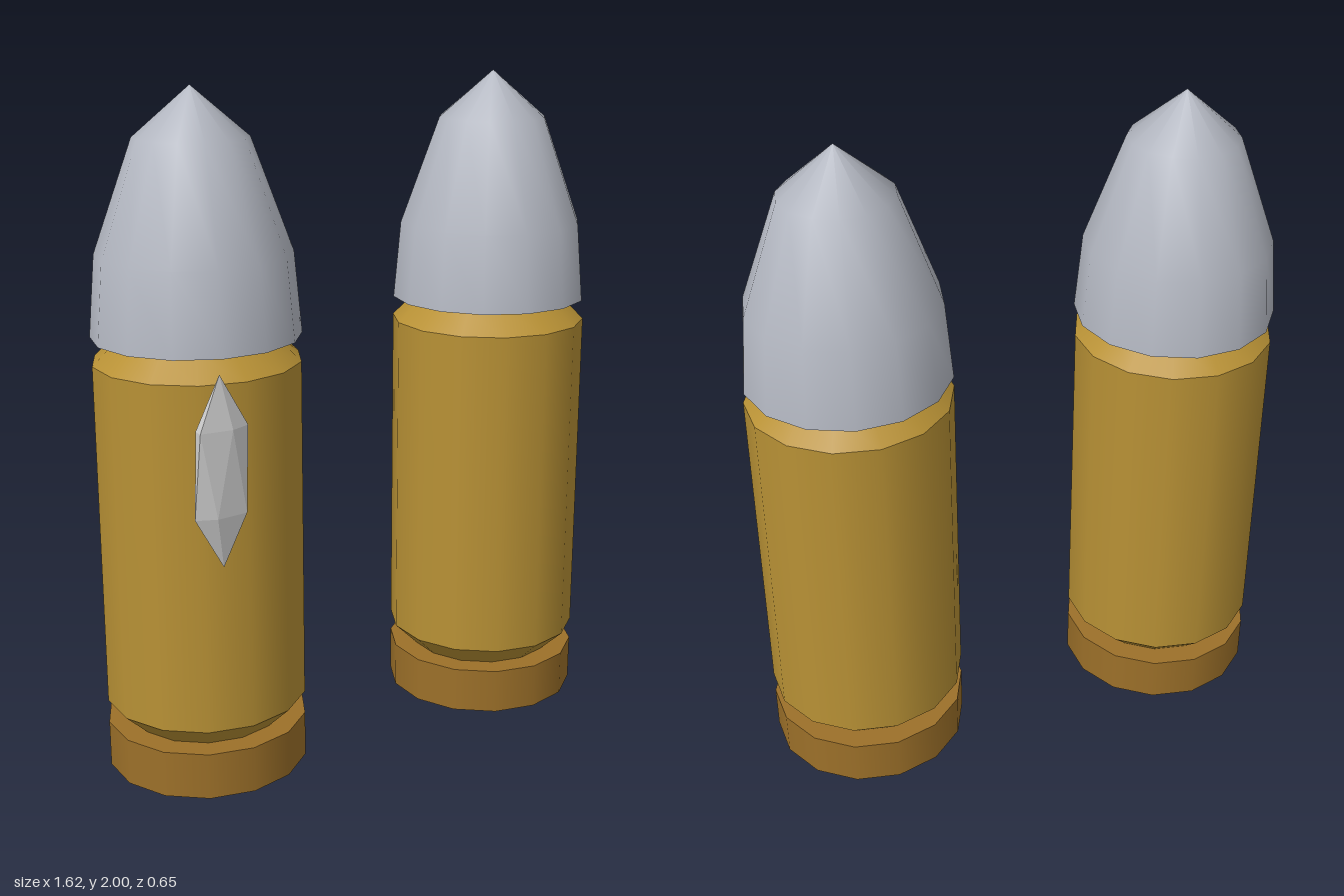
import * as THREE from 'three';
import { mergeGeometries } from 'three/addons/utils/BufferGeometryUtils.js';

const SIDES = 14;

// Lathes each profile run smoothly; breaks between runs stay sharp.
function turned(runs, phiStart = 0) {
  return mergeGeometries(runs.map((run) => new THREE.LatheGeometry(
    run.map(([r, y]) => new THREE.Vector2(r, y)), SIDES, phiStart)));
}

function part(name, geometry, color) {
  const mesh = new THREE.Mesh(geometry, new THREE.MeshStandardMaterial({ color }));
  mesh.name = name;
  return mesh;
}

function createCartridge(name) {
  const group = new THREE.Group();
  group.name = name;

  // Rim disc at the foot
  group.add(part('rim', turned([
    [[0, 0], [0.3, 0]],
    [[0.3, 0], [0.3, 0.14]],
    [[0.3, 0.14], [0, 0.14]],
  ]), 0x9c7029));

  // Casing with the extractor groove below and a bevelled mouth above
  group.add(part('casing', turned([
    [[0.228, 0.14], [0.3, 0.21]],
    [[0.3, 0.21], [0.3, 1.235]],
    [[0.3, 1.235], [0.228, 1.305]],
  ]), 0xb89135));

  // Pointed bullet, turned so its corners lie on the x axis
  group.add(part('bullet', turned([
    [[0, 1.305], [0.3, 1.305]],
    [[0.3, 1.305], [0.279, 1.54], [0.163, 1.86], [0, 2]],
  ], Math.PI / 2), 0xb4b8c2));

  return group;
}

export function createModel() {
  const model = new THREE.Group();
  model.name = 'cartridges';

  for (const [name, x] of [['rightCartridge', -0.512], ['leftCartridge', 0.509]]) {
    const cartridge = createCartridge(name);
    cartridge.position.set(x, 0, -0.021);
    model.add(cartridge);
  }

  // Flattened glint: an icosahedron stood on a corner and stretched
  const glintShape = new THREE.IcosahedronGeometry(1, 0);
  glintShape.rotateX(-Math.atan((1 + Math.sqrt(5)) / 2));
  glintShape.rotateY(Math.PI / 2);
  glintShape.scale(0.093, 0.273, 0.0275);
  const glint = part('glint', glintShape, 0xcccccc);
  glint.material.flatShading = true;
  glint.position.set(-0.606, 1.001, 0.302);
  model.add(glint);

  return model;
}
